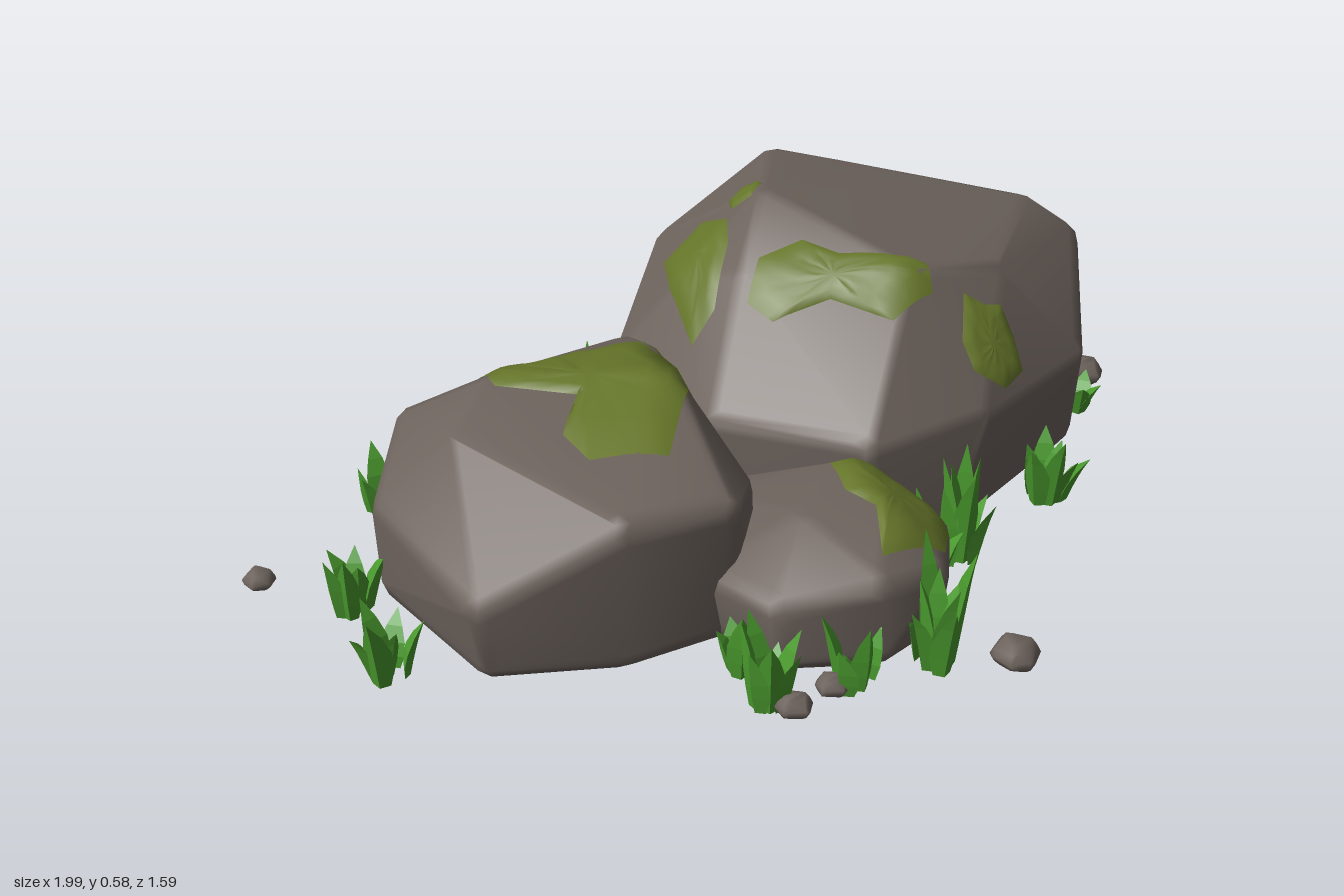
import * as THREE from 'three';
import { mergeVertices, mergeGeometries } from 'three/addons/utils/BufferGeometryUtils.js';
import { ConvexGeometry } from 'three/addons/geometries/ConvexGeometry.js';

const V = (x, y, z) => new THREE.Vector3(x, y, z);

function material(name, color, side = THREE.FrontSide) {
  const m = new THREE.MeshStandardMaterial({ color, side });
  m.name = name;
  return m;
}

// small seeded random source
function seeded(seed) {
  let s = seed;
  return () => (s = (s * 16807) % 2147483647) / 2147483647;
}

// rounded convex stone: a small ball is set inside every corner, then all are wrapped
function stoneGeometry(corners, radius, detail = 1) {
  const ball = new THREE.IcosahedronGeometry(radius, detail);
  ball.deleteAttribute('normal');
  ball.deleteAttribute('uv');
  const bp = mergeVertices(ball).getAttribute('position');
  const pts = corners.map((c) => V(...c));
  const centre = pts.reduce((a, p) => a.add(p), V(0, 0, 0)).divideScalar(pts.length);
  const cloud = [];
  for (const p of pts) {
    const c = p.clone().add(centre.clone().sub(p).setLength(radius));
    c.y = p.y === 0 ? radius : Math.max(radius, c.y);
    for (let i = 0; i < bp.count; i++) cloud.push(new THREE.Vector3().fromBufferAttribute(bp, i).add(c));
  }
  const hull = new ConvexGeometry(cloud);
  hull.deleteAttribute('normal');
  const geo = mergeVertices(hull, 1e-5);
  geo.computeVertexNormals();
  return geo;
}

// moss sheet: outline drawn in plan ('y') or elevation ('z') and laid on the stone
function mossGeometry(stone, axis, outline, rand) {
  const RINGS = 5, SUB = 4;
  const ray = new THREE.Raycaster();
  const cu = outline.reduce((a, p) => a + p[0], 0) / outline.length;
  const cv = outline.reduce((a, p) => a + p[1], 0) / outline.length;
  const lay = (u, v, lift) => {
    for (let t = 1; t > 0.05; t -= 0.05) {
      const a = cu + (u - cu) * t, b = cv + (v - cv) * t;
      if (axis === 'y') ray.set(V(a, 3, b), V(0, -1, 0));
      else ray.set(V(a, b, 3), V(0, 0, -1));
      const hit = ray.intersectObject(stone)[0];
      if (hit) return hit.point.addScaledVector(hit.face.normal, lift);
    }
    return V(cu, 0, cv);
  };
  const rim = [];
  outline.forEach((p, i) => {
    const q = outline[(i + 1) % outline.length];
    for (let k = 0; k < SUB; k++) rim.push([p[0] + (q[0] - p[0]) * k / SUB, p[1] + (q[1] - p[1]) * k / SUB]);
  });
  const pos = [...lay(cu, cv, 0.009).toArray()], index = [], n = rim.length;
  for (let r = 1; r <= RINGS; r++) {
    for (const [u, v] of rim) {
      const t = r / RINGS;
      const lift = r === RINGS ? 0.002 : 0.007 + rand() * 0.003;
      pos.push(...lay(cu + (u - cu) * t, cv + (v - cv) * t, lift).toArray());
    }
  }
  for (let i = 0; i < n; i++) {
    const j = (i + 1) % n;
    index.push(0, 1 + j, 1 + i);
    for (let r = 0; r < RINGS - 1; r++) {
      const a = 1 + r * n + i, b = 1 + r * n + j;
      index.push(a, b, b + n, a, b + n, a + n);
    }
  }
  // make every triangle face outward before shading
  const out = axis === 'y' ? V(0, 1, 0) : V(0, 0, 1);
  const P = (i) => V(pos[3 * i], pos[3 * i + 1], pos[3 * i + 2]);
  for (let k = 0; k < index.length; k += 3) {
    const a = P(index[k]);
    const nrm = P(index[k + 1]).sub(a).cross(P(index[k + 2]).sub(a));
    if (nrm.dot(out) < 0) [index[k + 1], index[k + 2]] = [index[k + 2], index[k + 1]];
  }
  const geo = new THREE.BufferGeometry();
  geo.setAttribute('position', new THREE.Float32BufferAttribute(pos, 3));
  geo.setIndex(index);
  geo.computeVertexNormals();
  return geo;
}

// one three-sided leaf, swollen near its middle and bending outward
function bladeGeometry(height, width, lean, yaw, x, z) {
  const geo = new THREE.CylinderGeometry(1, 1, 1, 3, 4).toNonIndexed();
  const p = geo.getAttribute('position');
  const profile = [0.6, 0.95, 0.95, 0.6, 0.02];
  for (let i = 0; i < p.count; i++) {
    const t = p.getY(i) + 0.5;
    const w = profile[Math.round(t * 4)] * width * 0.58;
    p.setXYZ(i, p.getX(i) * w, t * height, p.getZ(i) * w * 0.45 + lean * t * t);
  }
  geo.rotateY(yaw);
  geo.translate(x, 0, z);
  geo.computeVertexNormals();
  return geo;
}

export function createModel() {
  const model = new THREE.Group();
  model.name = 'mossyRocks';
  const rock = material('stone grey brown', 0x6c625c);
  const moss = material('moss olive', 0x66762a, THREE.DoubleSide);
  const grass = material('grass green', 0x4a9a2e);
  const rand = seeded(4711);
  const add = (name, geo, mat) => {
    const m = new THREE.Mesh(geo, mat);
    m.name = name;
    model.add(m);
    return m;
  };

  // boulders
  const large = add('largeBoulder', stoneGeometry([
    [0.16, 0.575, -0.24], [0.06, 0.35, -0.56], [0.33, 0.51, -0.575], [0.46, 0.495, -0.5], [0.74, 0.22, -0.53],
    [0.84, 0.425, -0.27], [0.91, 0.37, -0.2], [0.35, 0.505, 0.12], [0.58, 0.455, 0.08], [0.76, 0.25, 0.11],
    [0.43, 0.25, 0.29], [0.16, 0.24, 0.33], [0.04, 0.47, -0.08], [-0.03, 0.41, -0.22], [-0.08, 0.22, 0.08],
    [-0.14, 0.24, -0.28], [0.09, 0, -0.49], [0.35, 0, -0.53], [0.7, 0, -0.5], [0.78, 0, -0.27], [0.77, 0, 0.06],
    [0.33, 0, 0.32], [0.17, 0, 0.32], [-0.06, 0, 0.08], [-0.11, 0, -0.28],
  ], 0.05), rock);
  const medium = add('mediumBoulder', stoneGeometry([
    [-0.62, 0.325, 0.1], [-0.5, 0.365, -0.04], [-0.16, 0.39, 0.14], [-0.13, 0.33, -0.1], [-0.11, 0.25, -0.28],
    [-0.63, 0.22, -0.2], [-0.76, 0.2, 0.09], [-0.67, 0.15, 0.44], [-0.4, 0.295, 0.51], [-0.18, 0.28, 0.48],
    [-0.1, 0.25, 0.36], [-0.75, 0, 0.09], [-0.64, 0, -0.19], [-0.1, 0, -0.26], [-0.1, 0, 0.36], [-0.18, 0, 0.47],
    [-0.4, 0, 0.5], [-0.65, 0, 0.43],
  ], 0.045), rock);
  const small = add('smallBoulder', stoneGeometry([
    [-0.06, 0.23, 0.43], [0.13, 0.235, 0.32], [0.12, 0.23, 0.53], [-0.05, 0.23, 0.5], [0.03, 0.17, 0.67],
    [-0.16, 0.13, 0.61], [0.18, 0.14, 0.62], [0.27, 0.12, 0.45], [-0.24, 0.13, 0.45], [-0.12, 0.14, 0.22],
    [0.22, 0.12, 0.22], [-0.06, 0.13, 0.16], [0.03, 0, 0.67], [-0.15, 0, 0.61], [0.17, 0, 0.61], [0.25, 0, 0.45],
    [-0.22, 0, 0.45], [-0.1, 0, 0.18], [0.2, 0, 0.22],
  ], 0.05), rock);
  model.updateMatrixWorld(true);

  // moss patches
  const patches = [
    [medium, 'y', [[-0.5, -0.12], [-0.42, -0.09], [-0.33, -0.12], [-0.13, -0.14], [-0.11, 0.1], [-0.17, 0.2],
      [-0.26, 0.35], [-0.4, 0.31], [-0.42, 0.22], [-0.35, 0.13], [-0.49, 0.02]]],
    [large, 'y', [[0.0, -0.36], [0.09, -0.36], [0.1, -0.25], [0.07, -0.17], [0.0, -0.07], [-0.05, -0.07], [-0.04, -0.22]]],
    [large, 'y', [[0.13, -0.31], [0.18, -0.34], [0.19, -0.28], [0.15, -0.24], [0.12, -0.27]]],
    [large, 'y', [[0.05, -0.02], [0.1, -0.08], [0.19, -0.07], [0.24, 0.0], [0.39, 0.09], [0.38, 0.14], [0.28, 0.17],
      [0.19, 0.07], [0.08, 0.04]]],
    [large, 'z', [[0.42, 0.38], [0.455, 0.45], [0.5, 0.42], [0.54, 0.41], [0.555, 0.35], [0.56, 0.29], [0.5, 0.28],
      [0.46, 0.31], [0.43, 0.33]]],
    [small, 'y', [[0.08, 0.32], [0.18, 0.31], [0.255, 0.4], [0.255, 0.48], [0.2, 0.57], [0.05, 0.61], [0.09, 0.5], [0.06, 0.43]]],
  ];
  patches.forEach(([stone, axis, outline], i) => add('mossPatch' + (i + 1), mossGeometry(stone, axis, outline, rand), moss));

  // loose pebbles: x, z, radius
  const pebbles = [[-0.965, -0.04, 0.035], [-0.27, -0.41, 0.038], [0.5, -0.765, 0.035], [0.825, -0.685, 0.046],
    [0.945, -0.18, 0.054], [0.265, 0.74, 0.05], [-0.17, 0.72, 0.037], [-0.08, 0.69, 0.035]];
  pebbles.forEach(([x, z, r], i) => {
    const corners = [];
    for (let k = 0; k < 6; k++) {
      const a = k * Math.PI / 3 + rand() * 0.5, q = r * (0.94 + rand() * 0.1);
      corners.push([x + Math.cos(a) * q, r * 0.5, z + Math.sin(a) * q]);
      corners.push([x + Math.cos(a) * q * 0.7, k % 2 ? 0 : r * 1.02, z + Math.sin(a) * q * 0.7]);
    }
    add('pebble' + (i + 1), stoneGeometry(corners, r * 0.3, 0), rock);
  });

  // grass tufts: x, z, height, blades
  const tufts = [[-0.81, 0.1, 0.18, 6], [-0.81, 0.34, 0.17, 6], [-0.67, -0.24, 0.15, 5], [-0.48, -0.31, 0.17, 6],
    [-0.17, -0.38, 0.21, 10], [0.15, -0.59, 0.2, 8], [0.46, -0.58, 0.2, 7], [0.79, -0.55, 0.24, 8],
    [0.84, -0.5, 0.18, 6], [0.87, -0.06, 0.12, 3], [0.61, 0.24, 0.19, 8], [0.34, 0.38, 0.24, 8],
    [0.26, 0.42, 0.18, 4], [0.13, 0.68, 0.26, 9], [-0.03, 0.69, 0.15, 5], [-0.2, 0.68, 0.18, 7], [-0.21, 0.56, 0.15, 4]];
  tufts.forEach(([x, z, h, n], i) => {
    const blades = [];
    for (let k = 0; k < n; k++) {
      const yaw = (k + rand()) / n * Math.PI * 2, d = 0.005 + rand() * 0.035;
      blades.push(bladeGeometry(h * (0.5 + 0.5 * rand()), 0.046 + rand() * 0.014, 0.015 + rand() * 0.035, yaw,
        x + Math.sin(yaw) * d, z + Math.cos(yaw) * d));
    }
    add('grassTuft' + (i + 1), mergeGeometries(blades), grass);
  });
  return model;
}
